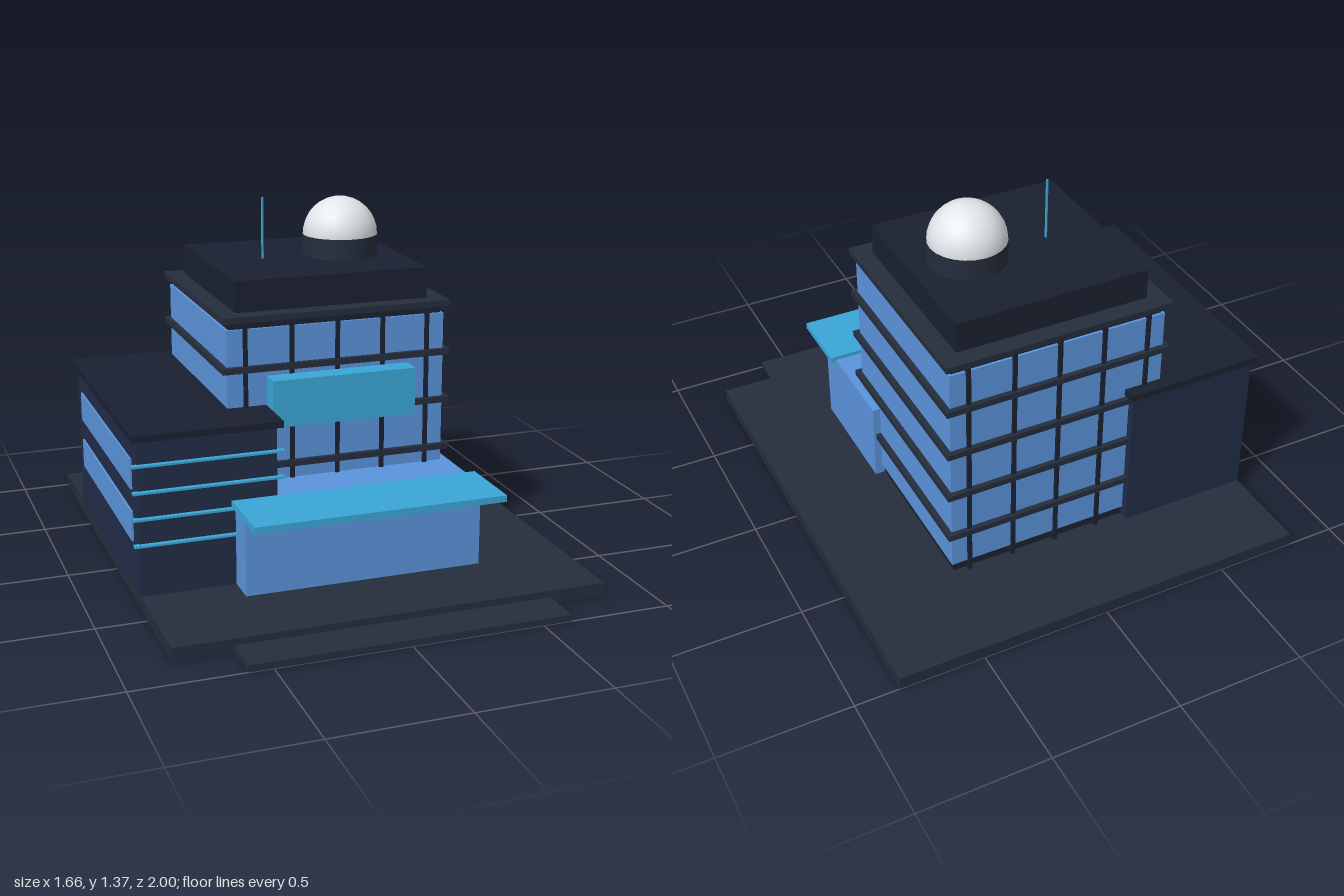
import * as THREE from 'three';

const mat = (color) => new THREE.MeshStandardMaterial({ color });

export function createModel() {
  const model = new THREE.Group();
  const concrete = mat(0x252d3c), roofDark = mat(0x1a2030), wall = mat(0x212c47);
  const glass = mat(0x5b94dc), accent = mat(0x3ba6d8), domeGrey = mat(0xe2e5ea);

  const add = (name, geometry, material, x, y, z, parent = model) => {
    const mesh = new THREE.Mesh(geometry, material);
    mesh.name = name;
    mesh.position.set(x, y, z);
    parent.add(mesh);
    return mesh;
  };
  // Box given by its extents on each axis
  const box = (name, material, [x0, x1], [y0, y1], [z0, z1], parent = model) =>
    add(name, new THREE.BoxGeometry(x1 - x0, y1 - y0, z1 - z0), material,
      (x0 + x1) / 2, (y0 + y1) / 2, (z0 + z1) / 2, parent);
  const group = (name) => {
    const g = new THREE.Group();
    g.name = name;
    model.add(g);
    return g;
  };

  // Ground plinth and entrance step
  box('plinth', concrete, [-0.81, 0.83], [0, 0.05], [-1, 0.84]);
  box('entranceStep', concrete, [-0.59, 0.61], [0, 0.025], [0.84, 1]);

  // Tower: dark core wrapped in glass, with floor slabs and mullions
  const tower = group('tower');
  box('towerCore', roofDark, [-0.41, 0.43], [0.05, 0.99], [-0.6, 0.2], tower);
  box('towerGlass', glass, [-0.42, 0.44], [0.09, 0.96], [-0.61, 0.21], tower);
  for (let i = 0; i < 5; i++) {
    const y = 0.24 + i * 0.19;
    box('floorSlab', concrete, [-0.44, 0.46], [y - 0.0115, y + 0.0115], [-0.63, 0.23], tower);
    const x = -0.35 + i * 0.18;
    for (const z of [0.21, -0.61])
      box('mullion', roofDark, [x - 0.008, x + 0.008], [0.05, 0.99], [z - 0.01, z + 0.01], tower);
  }

  // Rooftop: penthouse, dome on a drum, antenna
  const rooftop = group('rooftop');
  box('penthouse', roofDark, [-0.37, 0.39], [1.01, 1.13], [-0.56, 0.16], rooftop);
  add('domeDrum', new THREE.CylinderGeometry(0.148, 0.148, 0.08, 32), concrete, 0.17, 1.17, -0.2, rooftop);
  add('dome', new THREE.SphereGeometry(0.147, 24, 8, 0, Math.PI * 2, 0, Math.PI / 2),
    domeGrey, 0.17, 1.21, -0.2, rooftop);
  add('antenna', new THREE.CylinderGeometry(0.005, 0.005, 0.24, 8), accent, -0.15, 1.25, -0.2, rooftop);

  // Side wing with roof, strip windows on both sides and front fins
  const wing = group('wing');
  box('wingBody', wall, [-0.81, -0.29], [0.05, 0.64], [-0.64, 0.4], wing);
  box('wingRoof', roofDark, [-0.83, -0.27], [0.64, 0.665], [-0.66, 0.42], wing);
  for (const y of [0.235, 0.435])
    for (const x of [-0.81, -0.29])
      box('stripWindow', glass, [x - 0.007, x + 0.007], [y, y + 0.115], [-0.56, 0.32], wing);
  for (let i = 0; i < 4; i++) {
    const y = 0.25 + i * 0.1;
    box('frontFin', accent, [-0.83, -0.265], [y - 0.004, y + 0.004], [0.395, 0.42], wing);
  }

  // Glazed lobby, canopy and hanging front panel
  box('lobby', glass, [-0.45, 0.47], [0.05, 0.37], [0.04, 0.52]);
  box('canopy', accent, [-0.47, 0.49], [0.36, 0.385], [0.42, 0.7]);
  box('frontPanel', accent, [-0.27, 0.29], [0.6, 0.78], [0.22, 0.3]);

  return model;
}
